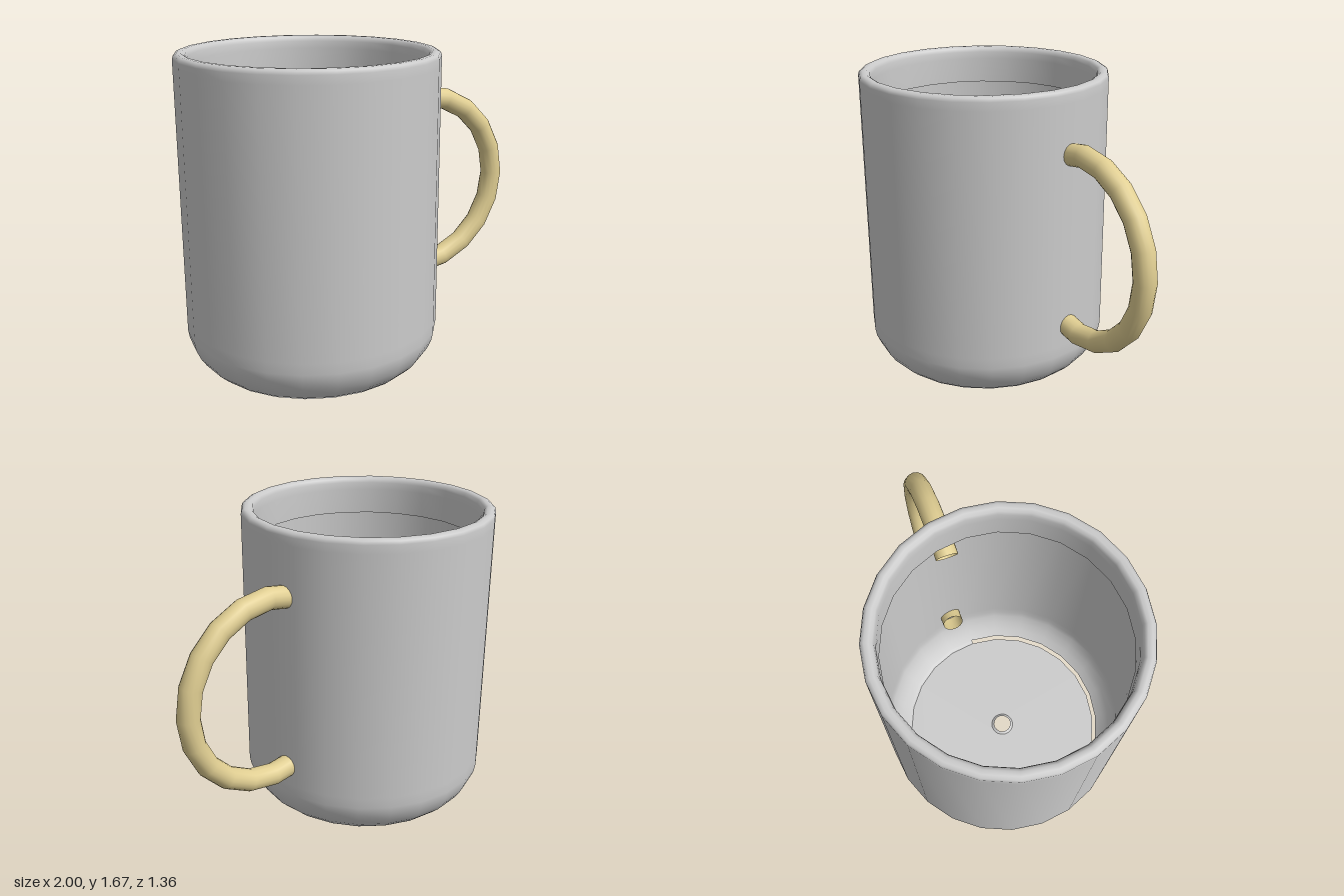
import * as THREE from 'three';

const SIDES = 24;
const STEP = (Math.PI * 2) / SIDES;
const BASE_R = 0.565;

const grey = new THREE.MeshStandardMaterial({ color: 0xcccccc, side: THREE.DoubleSide });
const tan = new THREE.MeshStandardMaterial({ color: 0xe0ce92, side: THREE.DoubleSide });

function part(name, geometry, material) {
  const mesh = new THREE.Mesh(geometry, material);
  mesh.name = name;
  return mesh;
}

function lathe(points, start = 0, steps = SIDES) {
  const profile = points.map(([r, y]) => new THREE.Vector2(r, y));
  return new THREE.LatheGeometry(profile, steps, start * STEP, steps * STEP);
}

export function createModel() {
  const model = new THREE.Group();
  model.name = 'mug';

  const cup = new THREE.Group();
  cup.name = 'cup';
  cup.position.x = -0.32;
  model.add(cup);

  // Thin outer wall with a rounded foot, rolled over at the rim into a short inner lip
  cup.add(part('wall', lathe([
    [0.583, 0.015], [0.62, 0.05], [0.65, 0.095], [0.672, 0.145], [0.68, 0.19],
    [0.68, 0.25], [0.68, 1.6], [0.68, 1.645], [0.674, 1.662], [0.658, 1.67],
    [0.636, 1.67], [0.62, 1.66], [0.614, 1.64], [0.61, 1.6], [0.61, 1.46],
  ]), grey));

  // Seam joining wall and base around the back only; the front stays open
  cup.add(part('baseSeam', lathe([[BASE_R, 0], [0.583, 0.015]], SIDES / 4, 11), grey));

  // Base disc with a drain hole, and a straight chord across its left edge
  const outline = [];
  for (let i = 0; i < SIDES; i++) {
    if (i === SIDES / 2 || i === SIDES / 2 + 1) continue;
    outline.push(new THREE.Vector2(BASE_R * Math.cos(i * STEP), BASE_R * Math.sin(i * STEP)));
  }
  const disc = new THREE.Shape(outline);
  disc.holes.push(new THREE.Path().absarc(0, 0, 0.065, 0, Math.PI * 2, true));
  const baseGeometry = new THREE.ShapeGeometry(disc, SIDES / 2);
  baseGeometry.rotateX(Math.PI / 2);
  cup.add(part('base', baseGeometry, grey));

  // Small sloped collar around the hole
  cup.add(part('holeCollar', lathe([[0.065, 0], [0.05, 0.012]]), grey));

  // Handle: partial ring whose ends run into the wall
  const arc = Math.PI * 1.2;
  const handle = part('handle', new THREE.TorusGeometry(0.5, 0.06, 16, 12, arc), tan);
  handle.rotation.z = -arc / 2;
  handle.position.set(0.44, 0.845, -0.107);
  model.add(handle);

  return model;
}
